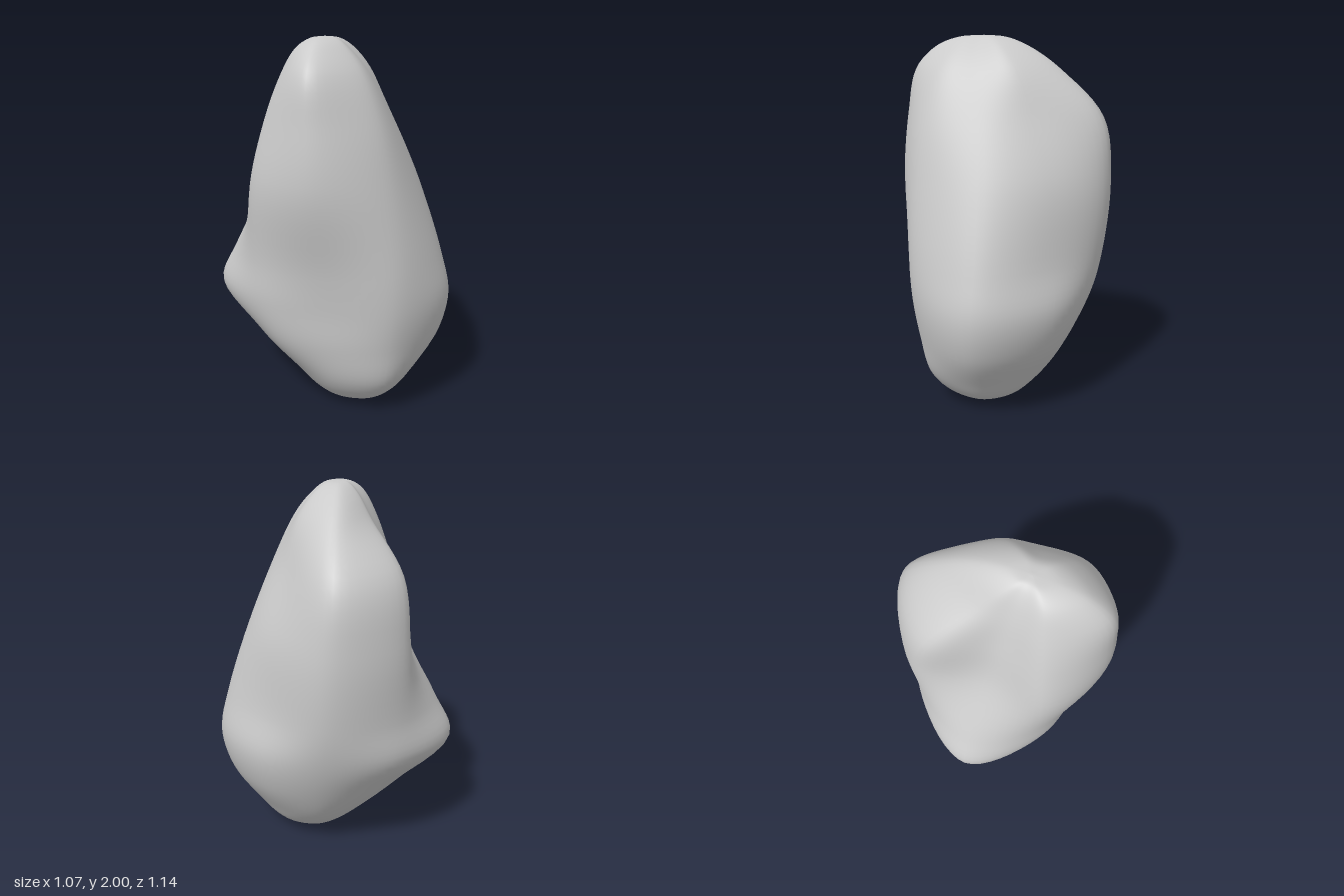
import * as THREE from 'three';
import { mergeVertices } from 'three/addons/utils/BufferGeometryUtils.js';

// Height, then eight radii turning by 45 degrees:
// front left, left, back left, back, back right, right, front right, front
const sections = [
  [0.08, .29, .24, .20, .18, .19, .20, .23, .30],
  [0.20, .40, .33, .30, .28, .32, .30, .33, .42],
  [0.40, .55, .45, .40, .42, .50, .45, .41, .50],
  [0.62, .62, .51, .48, .55, .69, .52, .45, .56],
  [0.85, .59, .48, .53, .54, .58, .52, .49, .58],
  [1.25, .48, .46, .58, .53, .34, .50, .56, .54],
  [1.58, .35, .36, .57, .47, .24, .39, .51, .45],
  [1.82, .23, .28, .39, .24, .16, .27, .43, .32],
  [1.94, .13, .18, .24, .14, .10, .18, .29, .19],
];

const AROUND = 72, UP = 72;

// Gently bent spine that the sections are centred on
function spine(y) {
  const s = y - 1;
  return new THREE.Vector3(-0.065 * s - 0.045 * s * s, y, -0.015 * s + 0.095 * s * s);
}

// Closed smooth outline through the radii of one section
function outline([y, ...radii]) {
  const points = radii.map((r, k) => {
    const a = (k - 1) * Math.PI / 4;
    return spine(y).add(new THREE.Vector3(r * Math.cos(a), 0, -r * Math.sin(a)));
  });
  return new THREE.CatmullRomCurve3(points, true);
}

// Shrunken copy of an end section, for the blunt base and tip
function cap([, ...radii], y) {
  return [y, ...radii.map((r) => r * 0.5)];
}

function boulderGeometry() {
  const outlines = [cap(sections[0], 0.01), ...sections, cap(sections.at(-1), 1.99)].map(outline);
  const positions = new Float32Array(AROUND * (UP + 1) * 3);
  const index = [];
  for (let j = 0; j < AROUND; j++) {
    // One rib running from the base to the tip
    const rib = new THREE.CatmullRomCurve3([spine(0), ...outlines.map((o) => o.getPoint(j / AROUND)), spine(2)]);
    for (let i = 0; i <= UP; i++) {
      const p = rib.getPoint(i / UP);
      p.y = THREE.MathUtils.clamp(p.y, 0, 2);
      p.toArray(positions, (i * AROUND + j) * 3);
      if (i === UP) continue;
      const a = i * AROUND + j, b = i * AROUND + (j + 1) % AROUND;
      const c = a + AROUND, d = b + AROUND;
      if (i > 0) index.push(a, b, c);
      if (i < UP - 1) index.push(b, d, c);
    }
  }
  const geometry = new THREE.BufferGeometry();
  geometry.setAttribute('position', new THREE.BufferAttribute(positions, 3));
  geometry.setIndex(index);
  const welded = mergeVertices(geometry, 1e-5);
  welded.computeVertexNormals();
  return welded;
}

export function createModel() {
  const group = new THREE.Group();
  group.name = 'rock';
  const boulder = new THREE.Mesh(boulderGeometry(), new THREE.MeshStandardMaterial({ color: 0xcccccc }));
  boulder.name = 'boulder';
  group.add(boulder);
  return group;
}
